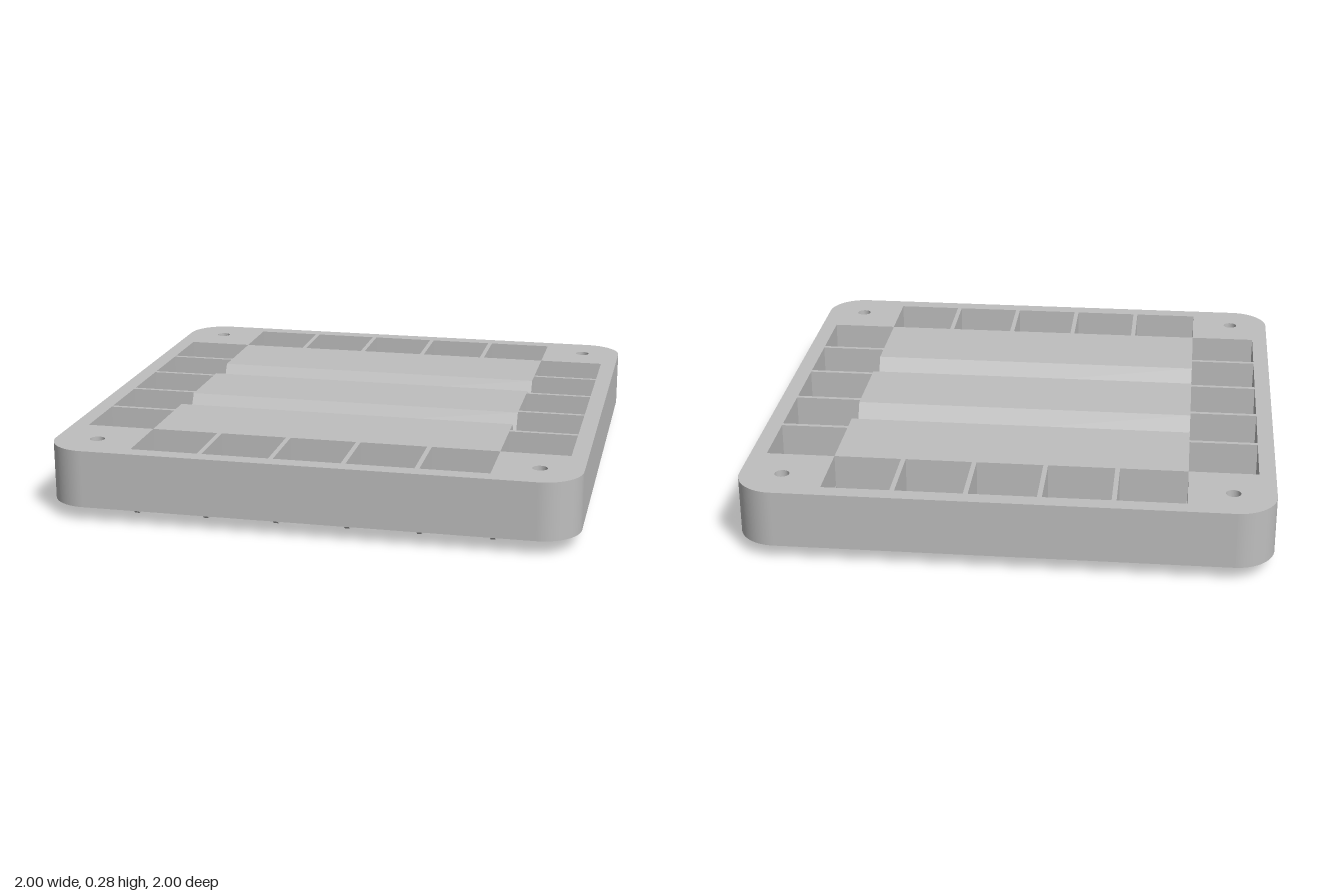
import * as THREE from 'three';

const TOP = 0.275, BASE = 0.055;        // plate levels
const INNER = 0.674, OUTER = 0.937;     // slot limits measured from the centre
const PITCH = 0.272, RIB = 0.018;

const grey = new THREE.MeshStandardMaterial({ color: 0xbfbfbf });
grey.name = 'grey';

function polygon(points) {
  return new THREE.Shape(points.map(([x, y]) => new THREE.Vector2(x, y)));
}

function addMesh(parent, geometry, name) {
  const mesh = new THREE.Mesh(geometry, grey);
  mesh.name = name;
  parent.add(mesh);
  return mesh;
}

// Rounded square with a plus-shaped opening and a bolt hole in each corner
function frameLayer(holeRadius, y0, y1) {
  const r = 0.15, c = 1 - r;
  const shape = new THREE.Shape();
  shape.absarc(c, c, r, 0, Math.PI / 2);
  shape.absarc(-c, c, r, Math.PI / 2, Math.PI);
  shape.absarc(-c, -c, r, Math.PI, Math.PI * 1.5);
  shape.absarc(c, -c, r, Math.PI * 1.5, Math.PI * 2);
  shape.closePath();
  const a = INNER, b = OUTER;
  shape.holes.push(polygon([
    [a, a], [a, b], [-a, b], [-a, a], [-b, a], [-b, -a],
    [-a, -a], [-a, -b], [a, -b], [a, -a], [b, -a], [b, a],
  ]));
  for (const sx of [-1, 1]) for (const sz of [-1, 1]) {
    const hole = new THREE.Path();
    hole.absarc(sx * 0.84, sz * 0.84, holeRadius, 0, Math.PI * 2, true);
    shape.holes.push(hole);
  }
  const geometry = new THREE.ExtrudeGeometry(shape, { depth: y1 - y0, bevelEnabled: false, curveSegments: 20 });
  return geometry.rotateX(-Math.PI / 2).translate(0, y0, 0);
}

// Thin rib with a tapered foot, reaching out along +x
function ribGeometry(top) {
  const shape = polygon([
    [INNER, top], [INNER, BASE], [0.745, 0], [0.87, 0], [OUTER + 0.003, BASE], [OUTER + 0.003, top],
  ]);
  return new THREE.ExtrudeGeometry(shape, { depth: RIB, bevelEnabled: false }).translate(0, 0, -RIB / 2);
}

export function createModel() {
  const model = new THREE.Group();
  model.name = 'slottedPlate';

  // Outer frame: narrow bolt holes above, wide counterbores below
  const frame = new THREE.Group();
  frame.name = 'frame';
  addMesh(frame, frameLayer(0.028, 0.215, TOP), 'frameTop');
  addMesh(frame, frameLayer(0.1, BASE, 0.215), 'frameBase');
  model.add(frame);

  // Centre panel, cut by two V grooves running along x
  const profile = [[-INNER, BASE], [INNER, BASE], [INNER, TOP]];
  for (const z of [0.24, -0.245]) {
    profile.push([z + 0.08, TOP], [z, TOP - 0.14], [z - 0.083, TOP]);
  }
  profile.push([-INNER, TOP]);
  const panel = new THREE.ExtrudeGeometry(
    polygon(profile.map(([z, y]) => [-z, y]).reverse()),
    { depth: INNER * 2, bevelEnabled: false });
  panel.translate(0, 0, -INNER).rotateY(Math.PI / 2);
  addMesh(model, panel, 'groovedPanel');

  // Six ribs on every side; the end ribs sit under the corner blocks
  const fullRib = ribGeometry(TOP), endRib = ribGeometry(0.15);
  for (let side = 0; side < 4; side++) {
    const ribs = new THREE.Group();
    ribs.name = 'ribRow';
    ribs.rotation.y = side * Math.PI / 2;
    for (let i = 0; i < 6; i++) {
      const isEnd = i === 0 || i === 5;
      addMesh(ribs, isEnd ? endRib : fullRib, 'rib').position.z = (i - 2.5) * PITCH;
    }
    model.add(ribs);
  }
  return model;
}
